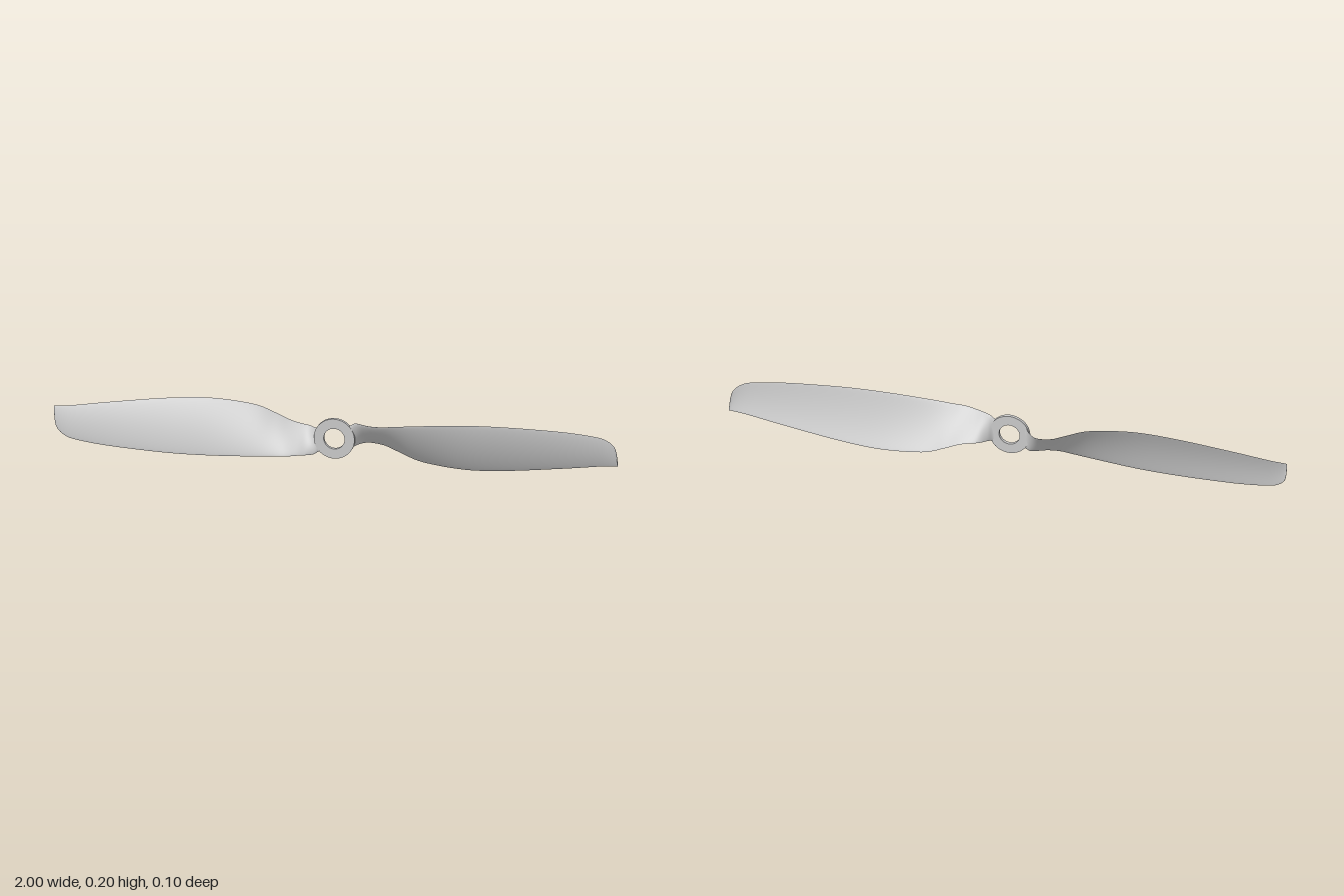
import * as THREE from 'three';
import { toCreasedNormals } from 'three/addons/utils/BufferGeometryUtils.js';

const CENTRE_Y = 0.1;

// Blade stations: x, leading edge y, z, trailing edge y, z (y from the hub axis)
const STATIONS = [
  [0.045, 0.045, 0.008, -0.035, 0.005],
  [0.06, 0.054, 0.010, -0.032, 0.0],
  [0.075, 0.062, 0.014, -0.027, -0.018],
  [0.1, 0.063, 0.026, -0.025, -0.042],
  [0.13, 0.063, 0.038, -0.027, -0.050],
  [0.17, 0.066, 0.047, -0.036, -0.054],
  [0.22, 0.070, 0.044, -0.057, -0.055],
  [0.3, 0.077, 0.040, -0.085, -0.052],
  [0.45, 0.087, 0.031, -0.099, -0.044],
  [0.6, 0.090, 0.024, -0.090, -0.037],
  [0.8, 0.084, 0.012, -0.064, -0.027],
  [0.92, 0.072, 0.004, -0.046, -0.021],
  [0.96, 0.060, -0.001, -0.041, -0.019],
  [0.985, 0.040, -0.007, -0.039, -0.018],
  [0.995, 0.014, -0.012, -0.038, -0.018],
  [1.0, -0.034, -0.018, -0.038, -0.018],
];

const edgeCurve = (k) => new THREE.CatmullRomCurve3(
  STATIONS.map((s) => new THREE.Vector3(s[0], s[k], s[k + 1])), false, 'catmullrom', 0.5);

// One skin of the twisted aerofoil: side +1 is the front, -1 the back
function bladeSkin(side) {
  const lead = edgeCurve(1), trail = edgeCurve(3);
  const rows = 90, cols = 20, pos = [], index = [];
  for (let i = 0; i <= rows; i++) {
    const a = lead.getPoint(i / rows), b = trail.getPoint(i / rows);
    const chord = b.clone().sub(a), length = chord.length();
    const normal = new THREE.Vector3(0, chord.z, -chord.y).normalize();
    const blend = THREE.MathUtils.smoothstep(a.x, 0.05, 0.2);
    const half = Math.min(0.0055 - 0.0035 * a.x, length * 0.06);
    const camber = 0.045 * length * blend;
    for (let j = 0; j <= cols; j++) {
      const u = (1 - Math.cos(Math.PI * j / cols)) / 2;
      const thick = half * Math.sqrt(Math.max(0, 4 * u * (1 - u))) * (1.15 - 0.4 * u);
      const p = a.clone().addScaledVector(chord, u)
        .addScaledVector(normal, camber * 4 * u * (1 - u) + side * thick);
      pos.push(p.x, p.y, p.z);
      if (i < rows && j < cols) {
        const q = i * (cols + 1) + j, r = q + cols + 1;
        if (side > 0) index.push(q, q + 1, r, r, q + 1, r + 1);
        else index.push(q, r, q + 1, r, r + 1, q + 1);
      }
    }
  }
  const geo = new THREE.BufferGeometry();
  geo.setAttribute('position', new THREE.Float32BufferAttribute(pos, 3));
  geo.setIndex(index);
  geo.computeVertexNormals();
  return geo;
}

// Flat ring with the shaft hole
function hubGeometry() {
  const ring = new THREE.Shape().absarc(0, 0, 0.072, 0, Math.PI * 2);
  ring.holes.push(new THREE.Path().absarc(0, 0, 0.037, 0, Math.PI * 2, true));
  const geo = new THREE.ExtrudeGeometry(ring, { depth: 0.013, bevelEnabled: false, curveSegments: 48 });
  return toCreasedNormals(geo, 0.6);
}

export function createModel() {
  const material = new THREE.MeshStandardMaterial({ color: 0xcccccc });
  const model = new THREE.Group();
  model.name = 'propeller';

  const hub = new THREE.Mesh(hubGeometry(), material);
  hub.name = 'hub';
  hub.position.y = CENTRE_Y;
  model.add(hub);

  // Two blades, half a turn apart
  const front = bladeSkin(1), back = bladeSkin(-1);
  ['leftBlade', 'rightBlade'].forEach((name, i) => {
    const blade = new THREE.Group();
    blade.name = name;
    const frontSkin = new THREE.Mesh(front, material);
    frontSkin.name = 'bladeFront';
    const backSkin = new THREE.Mesh(back, material);
    backSkin.name = 'bladeBack';
    blade.add(frontSkin, backSkin);
    blade.position.y = CENTRE_Y;
    blade.rotation.z = i * Math.PI;
    model.add(blade);
  });
  return model;
}
